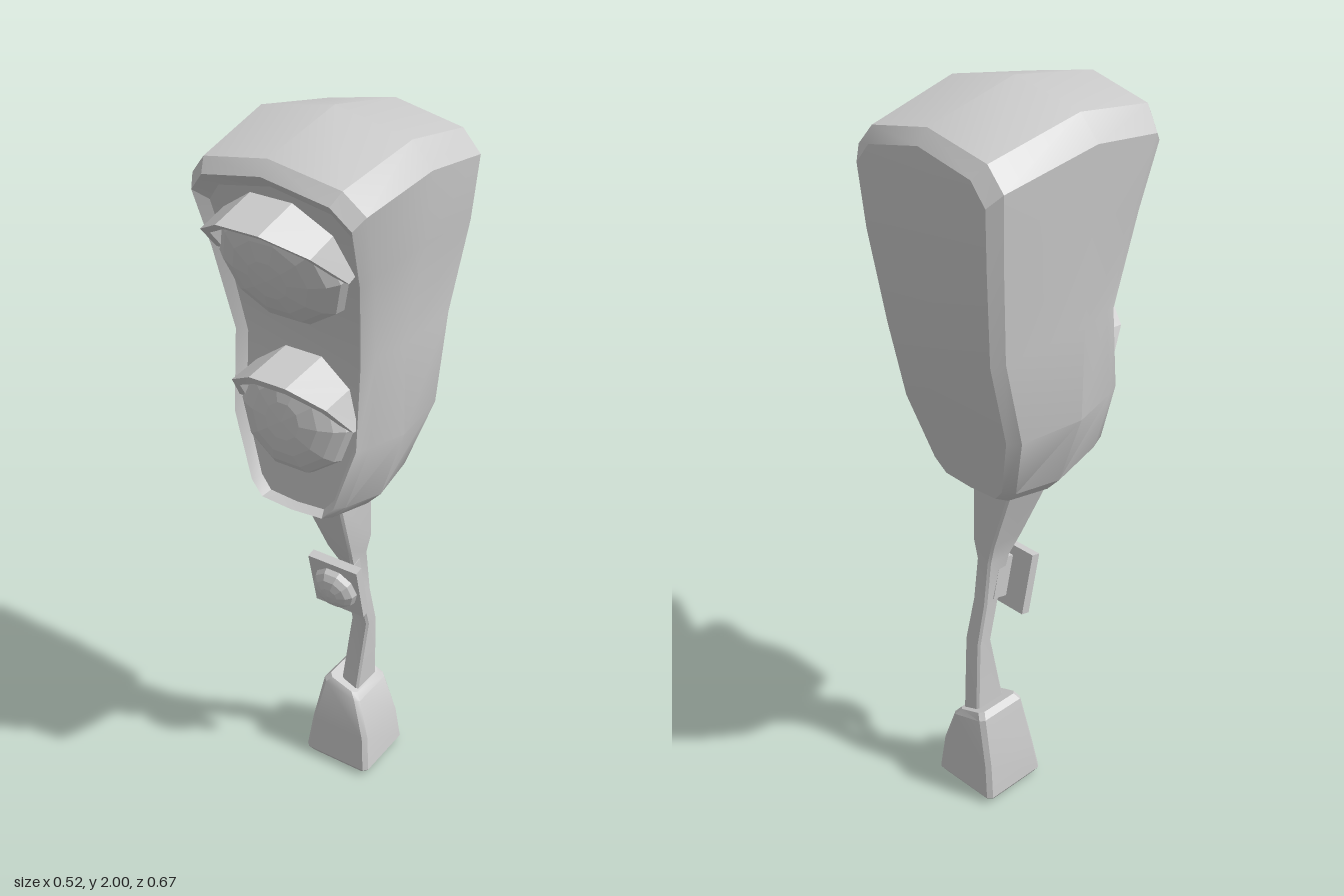
import * as THREE from 'three';
import { toCreasedNormals } from 'three/addons/utils/BufferGeometryUtils.js';

const material = new THREE.MeshStandardMaterial({ color: 0xcccccc });
const faceted = new THREE.MeshStandardMaterial({ color: 0xcccccc, flatShading: true });

// Skin a series of closed rings and cap both ends
function loft(rings, crease) {
  const n = rings[0].length, index = [];
  const quad = (a, b, c, d) => index.push(a, b, c, a, c, d);
  for (let k = 0; k < rings.length - 1; k++) {
    for (let i = 0; i < n; i++) {
      const j = (i + 1) % n;
      quad(k * n + i, (k + 1) * n + i, (k + 1) * n + j, k * n + j);
    }
  }
  const last = (rings.length - 1) * n;
  for (let i = 0; i < n / 2; i++) {
    const a = i, b = i + 1, c = n - i - 1, d = (n - i) % n;
    if (i > 0) index.push(a, c, d);
    if (b !== c) index.push(a, b, c);
    if (i > 0) index.push(last + a, last + d, last + c);
    if (b !== c) index.push(last + a, last + c, last + b);
  }
  const g = new THREE.BufferGeometry();
  g.setAttribute('position', new THREE.Float32BufferAttribute(rings.flat(2), 3));
  g.setIndex(index);
  return toCreasedNormals(g, crease);
}

function add(parent, name, geometry, mat = material) {
  const mesh = new THREE.Mesh(geometry, mat);
  mesh.name = name;
  parent.add(mesh);
  return mesh;
}

// Piecewise linear lookup in [y, value] pairs
function lookup(table, y) {
  let i = 0;
  while (i < table.length - 2 && y > table[i + 1][0]) i++;
  const [y0, v0] = table[i], [y1, v1] = table[i + 1];
  return v0 + (v1 - v0) * (y - y0) / (y1 - y0);
}

// Horizontal rectangle with chamfered corners
function section(y, x0, x1, zf, zb, c, slope = 0) {
  return [
    [x0 + c, zf], [x1 - c, zf], [x1, zf - c], [x1, zb + c],
    [x1 - c, zb], [x0 + c, zb], [x0, zb + c], [x0, zf - c],
  ].map(([x, z]) => [x, y + slope * x, z]);
}

// Waisted housing with a recessed front and bevelled front and back edges
function housing() {
  const half = [[0, 0.95], [0.11, 0.957], [0.15, 1.0], [0.218, 1.2], [0.218, 1.45],
    [0.248, 1.72], [0.26, 1.9], [0.205, 1.96], [0, 2]];
  const outline = [...half, ...half.slice(1, -1).reverse().map(([x, y]) => [-x, y])];
  const front = [[0.95, 0.15], [1.2, 0.125], [1.45, 0.1], [1.55, 0.118], [1.92, 0.25]];
  const back = [[0.95, -0.195], [1.2, -0.255], [1.47, -0.32], [1.8, -0.337], [2, -0.335]];
  const sway = [[0.95, -0.004], [1.2, -0.009], [1.45, -0.014], [1.75, 0]];
  const ring = (sx, lo, hi, depth) => outline.map(([x, y0]) => {
    const y = lo + (y0 - 0.95) / 1.05 * (hi - lo);
    return [x * sx + lookup(sway, Math.min(y, 1.75)), y, depth(y)];
  });
  return loft([
    ring(0.74, 1.01, 1.89, y => lookup(front, y) - 0.025),
    ring(0.83, 1.0, 1.925, y => lookup(front, y)),
    ring(0.9, 0.985, 1.957, y => lookup(front, y) - 0.04),
    ring(1, 0.95, 2, () => -0.04),
    ring(0.91, 0.968, 1.94, y => lookup(back, y) + 0.03),
    ring(0.81, 0.985, 1.905, y => lookup(back, y)),
  ], 0.42);
}

// Flattened dome bulging toward +z
function dome(r, depth, sides, rings) {
  const g = new THREE.SphereGeometry(1, sides, rings, 0, Math.PI * 2, 0, Math.PI / 2);
  return g.rotateX(Math.PI / 2).scale(r, r, depth);
}

// Visor over the upper half of a lens, longest at the top
function visor(r, length, lift, sides) {
  const rings = [];
  for (let k = 0; k <= sides / 2; k++) {
    const t = k / sides * Math.PI * 2, s = Math.sin(t);
    const point = (radius, rise, z) => [radius * Math.cos(t), radius * s + rise * s, z];
    rings.push([
      point(r + 0.004, 0, -0.02),
      point(r + 0.004, lift, length * s + 0.015),
      point(r - 0.018, lift, (length - 0.015) * s + 0.015),
      point(r - 0.018, 0, -0.02),
    ]);
  }
  return loft(rings, 0.5);
}

function lamp(name, [x, y, z], tilt, r, length, lift) {
  const group = new THREE.Group();
  group.name = name;
  group.position.set(x, y, z);
  group.rotation.x = tilt;
  add(group, 'lens', dome(r * 0.98, 0.078, 10, 5), faceted);
  add(group, 'visor', visor(r, length, lift, 10));
  return group;
}

export function createModel() {
  const model = new THREE.Group();
  model.name = 'trafficLight';

  add(model, 'housing', housing());
  model.add(lamp('upperLamp', [-0.007, 1.69, 0.155], 0.31, 0.18, 0.118, 0.012));
  model.add(lamp('lowerLamp', [-0.01, 1.265, 0.1], -0.09, 0.165, 0.135, -0.035));

  // Crooked pole: y, left, right, front, back
  add(model, 'pole', loft([
    [1.02, -0.1, 0.055, 0.03, -0.145],
    [0.95, -0.078, 0.053, 0.01, -0.145],
    [0.78, -0.02, 0.057, -0.035, -0.145],
    [0.72, -0.004, 0.045, -0.065, -0.143],
    [0.59, 0, 0.05, -0.105, -0.155],
    [0.47, 0, 0.055, -0.135, -0.182],
    [0.24, -0.012, 0.045, -0.098, -0.203],
  ].map(s => section(...s, 0.006)), 0.45));

  // Push button on a tilted plate
  const button = new THREE.Group();
  button.name = 'crossingButton';
  button.position.set(0.008, 0.647, -0.055);
  button.rotation.x = 0.23;
  add(button, 'plate', new THREE.BoxGeometry(0.155, 0.175, 0.026));
  add(button, 'button', dome(0.068, 0.042, 10, 4), faceted).position.z = 0.013;
  add(button, 'bracket', new THREE.BoxGeometry(0.05, 0.12, 0.05)).position.set(0.014, 0, -0.035);
  model.add(button);

  // Flared foot with a slanted top
  add(model, 'foot', loft([
    [0.268, -0.04, 0.05, -0.08, -0.215, 0.012, -0.36],
    [0.25, -0.055, 0.066, -0.07, -0.226, 0.012, -0.3],
    [0.12, -0.082, 0.105, -0.052, -0.232, 0.012],
    [0.018, -0.092, 0.12, -0.035, -0.237, 0.012],
    [0, -0.08, 0.108, -0.047, -0.225, 0.012],
  ].map(s => section(...s)), 0.5));

  return model;
}
